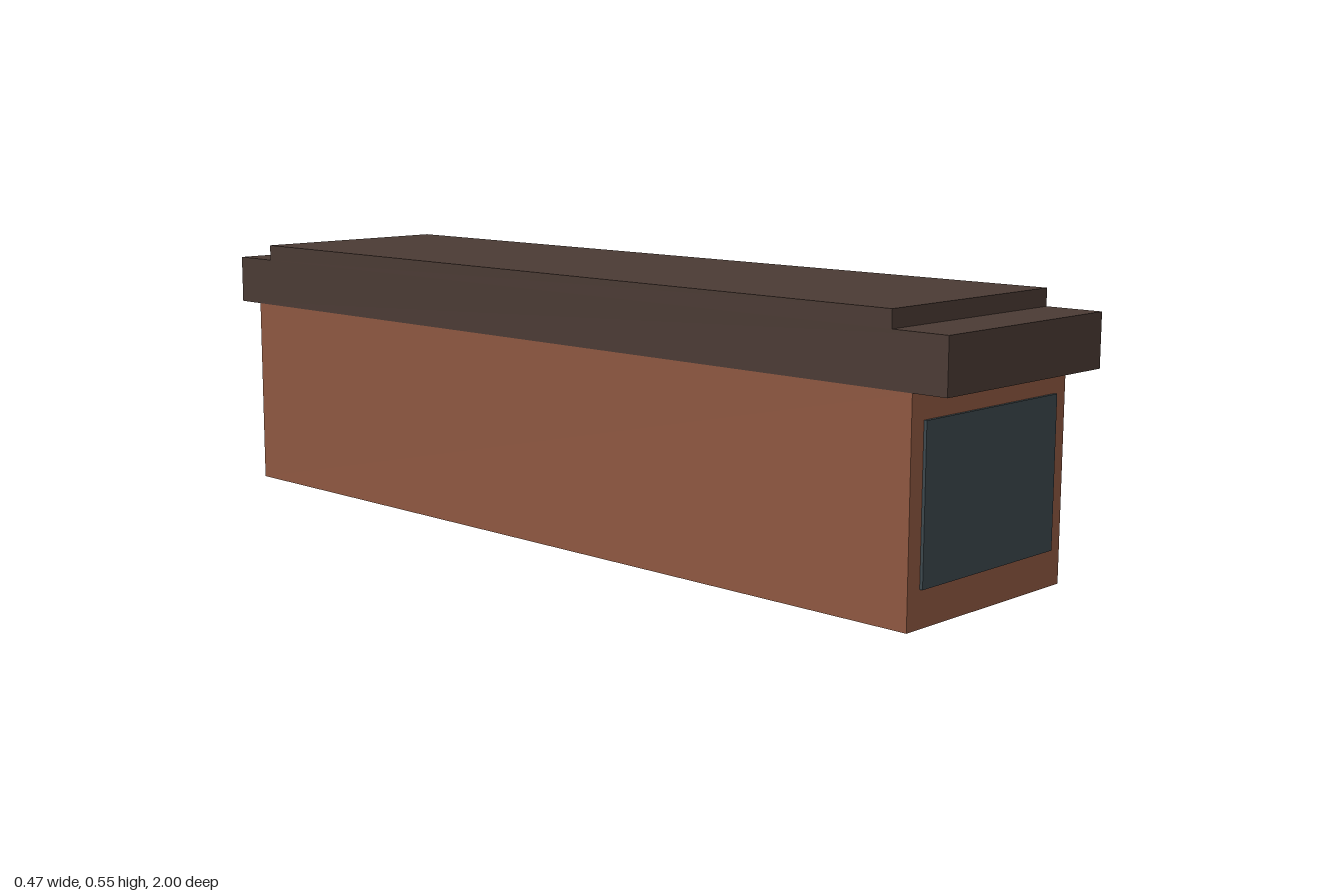
import * as THREE from 'three';

const material = (name, color) => {
  const m = new THREE.MeshStandardMaterial({ color });
  m.name = name;
  return m;
};

export function createModel() {
  const brick = material('brick', 0x8f5841);
  const darkRoof = material('darkRoof', 0x4b3b34);
  const glass = material('slateGlass', 0x3c484d);

  const model = new THREE.Group();
  model.name = 'longBuilding';

  // Box standing on height y0, centred on x, with its middle at z
  const block = (name, mat, width, y0, y1, depth, z = 0) => {
    const mesh = new THREE.Mesh(new THREE.BoxGeometry(width, y1 - y0, depth), mat);
    mesh.name = name;
    mesh.position.set(0, (y0 + y1) / 2, z);
    model.add(mesh);
  };

  const width = 0.465;

  // Long brick body
  block('walls', brick, width, 0, 0.41, 1.86);

  // Overhanging roof slab with a shorter raised cap, flush at the sides
  block('roofSlab', darkRoof, width, 0.41, 0.513, 2);
  block('roofCap', darkRoof, width, 0.513, 0.547, 1.77);

  // Thin window panel on the front end
  block('frontWindow', glass, 0.396, 0.07, 0.361, 0.008, 0.932);

  return model;
}
